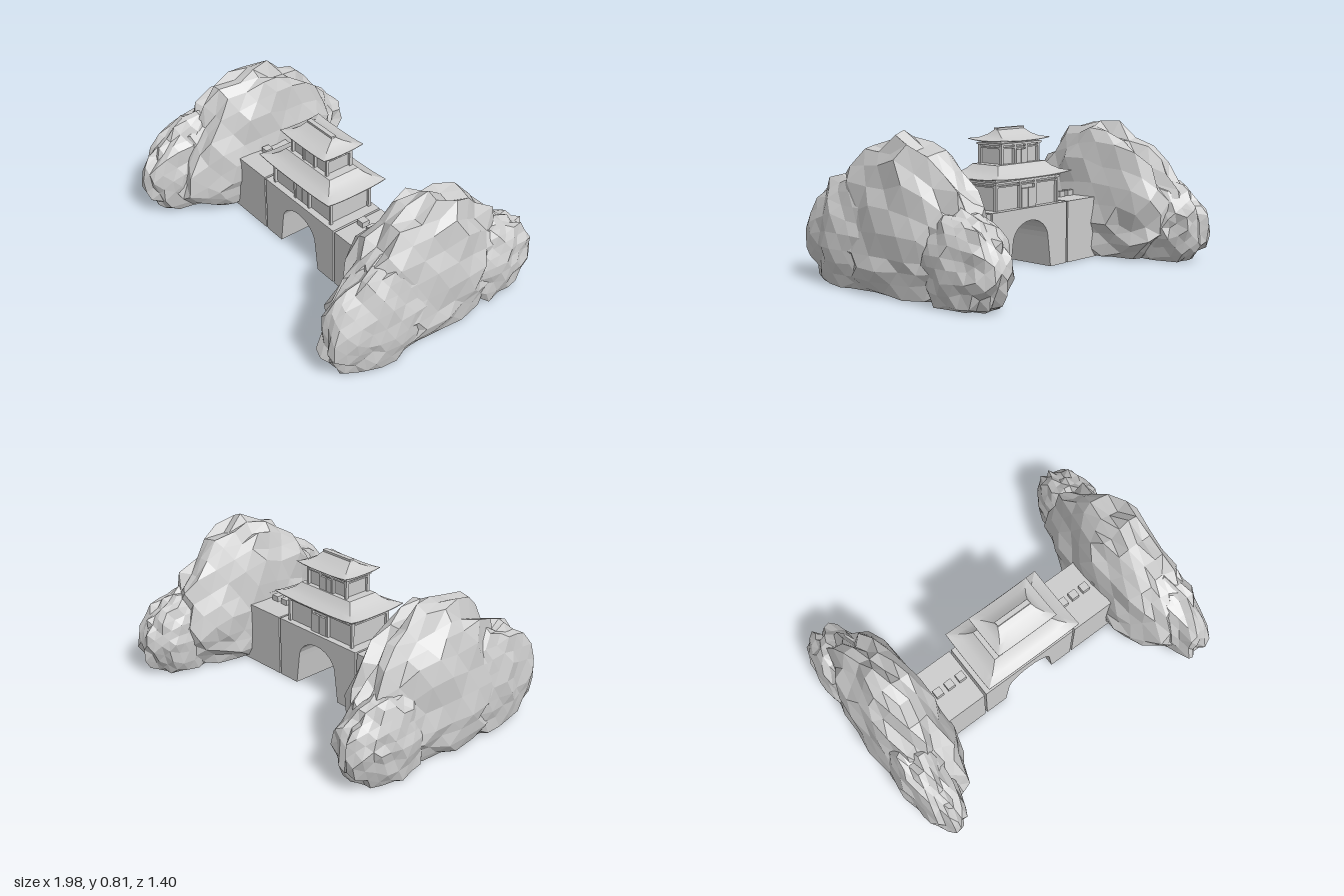
import * as THREE from 'three';
import { toCreasedNormals } from 'three/addons/utils/BufferGeometryUtils.js';

const stone = new THREE.MeshStandardMaterial({ color: 0xcccccc });
stone.name = 'paleStone';
const CX = -0.01, CZ = 0.05; // centre of the gate

function add(parent, name, geometry) {
  const mesh = new THREE.Mesh(geometry, stone);
  mesh.name = name;
  parent.add(mesh);
  return mesh;
}

// Box given by its limits
function box(parent, name, x0, x1, y0, y1, z0, z1) {
  const m = add(parent, name, new THREE.BoxGeometry(x1 - x0, y1 - y0, z1 - z0));
  m.position.set((x0 + x1) / 2, (y0 + y1) / 2, (z0 + z1) / 2);
  return m;
}

// Faceted rock: jagged pointed ellipsoid, widest at y = 0.2, cut flat at the ground
function rock(parent, name, [cx, hx], top, [cz, hz], seed, detail) {
  const geo = new THREE.IcosahedronGeometry(1, detail);
  const p = geo.attributes.position, v = new THREE.Vector3();
  const hash = (a, b, c) => {
    const s = Math.sin(Math.round(a * 500) * 12.99 + Math.round(b * 500) * 78.23 + Math.round(c * 500) * 37.72 + seed * 5.1) * 43758.5;
    return s - Math.floor(s);
  };
  for (let i = 0; i < p.count; i++) {
    v.fromBufferAttribute(p, i).normalize();
    const { x, y, z } = v;
    const noise = 0.02 * Math.sin(5 * x + 9 * z + seed) + 0.17 * (hash(x, y, z) - 0.5);
    // full across, tapering to a crest along z
    const q = (1 + noise) * Math.pow(Math.abs(x) ** 2.9 + Math.abs(y) ** 1.8 + Math.abs(z) ** 1.6, -1 / 1.9);
    p.setXYZ(i,
      THREE.MathUtils.clamp(cx + x * q * hx, -1, 1),
      Math.max(0, 0.2 + y * q * (y > 0 ? top - 0.2 : 0.3)),
      THREE.MathUtils.clamp(cz + z * q * hz, -0.7, 0.7));
  }
  geo.computeVertexNormals();
  add(parent, name, geo);
}

// Hipped roof from rectangular rings [halfX, halfZ, y, cornerLift]
function roof(parent, name, rings) {
  const corners = [[1, 1], [1, -1], [-1, -1], [-1, 1]], n = 8;
  const pos = [], idx = [], count = 4 * n;
  for (const [hx, hz, y, lift] of rings)
    for (let s = 0; s < 4; s++)
      for (let k = 0; k < n; k++) {
        const a = corners[s], b = corners[(s + 1) % 4], t = k / n;
        pos.push(CX + hx * (a[0] + (b[0] - a[0]) * t), y + lift * Math.abs(2 * t - 1) ** 3, CZ + hz * (a[1] + (b[1] - a[1]) * t));
      }
  for (let i = 0; i < rings.length - 1; i++)
    for (let j = 0; j < count; j++) {
      const a = i * count + j, b = i * count + (j + 1) % count;
      idx.push(a, b, b + count, a, b + count, a + count);
    }
  const geo = new THREE.BufferGeometry();
  geo.setAttribute('position', new THREE.Float32BufferAttribute(pos, 3));
  geo.setIndex(idx);
  add(parent, name, toCreasedNormals(geo, 0.5));
}

// Pavilion storey: recessed body behind posts, beams and rails, with doors on both faces
function storey(parent, name, hx, hz, y0, y1, doorHalf) {
  const g = new THREE.Group();
  g.name = name;
  g.position.set(CX, 0, CZ);
  parent.add(g);
  const b = 0.014, h = y1 - y0;
  box(g, 'body', -hx + 0.006, hx - 0.006, y0, y1 + 0.015, -hz + 0.008, hz - 0.008);
  box(g, 'eaveBeam', -hx - b, hx + b, y1 - 0.012, y1, -hz - b, hz + b);
  for (const s of [-1, 1]) {
    const z = s * hz;
    for (const x of [-hx, -doorHalf, doorHalf, hx])
      box(g, 'post', x - 0.007, x + 0.007, y0, y1, z - 0.009, z + 0.009);
    box(g, 'lintel', -hx, hx, y1 - 0.03, y1 - 0.022, z - 0.008, z + 0.008);
    box(g, 'sideRail', s * hx - 0.007, s * hx + 0.007, y1 - 0.03, y1 - 0.022, -hz, hz);
    for (const d of [-1, 1]) {
      const c = d * doorHalf * 0.45;
      box(g, 'door', c - doorHalf * 0.42, c + doorHalf * 0.42, y0, y0 + h * 0.68, z - 0.01, z + 0.002);
    }
  }
}

export function createModel() {
  const model = new THREE.Group();
  model.name = 'mountainPassGate';

  // Gate block with a tapered arch passage
  const s = new THREE.Shape();
  s.moveTo(-0.3, 0);
  s.lineTo(-0.165, 0);
  s.lineTo(-0.143, 0.165);
  s.absellipse(0, 0.165, 0.143, 0.115, Math.PI, 0, true);
  s.lineTo(0.165, 0);
  s.lineTo(0.3, 0);
  s.lineTo(0.3, 0.35);
  s.lineTo(-0.3, 0.35);
  const block = add(model, 'gateBlock', new THREE.ExtrudeGeometry(s, { depth: 0.32, bevelEnabled: false, curveSegments: 6 }));
  block.position.set(CX, 0, -0.11);

  // Side walls and battlements
  for (const d of [-1, 1]) {
    const a = CX + d * 0.312, b = CX + d * 0.68;
    box(model, 'sideWall', Math.min(a, b), Math.max(a, b), 0, 0.35, -0.11, 0.21);
    for (let i = 0; i < 4; i++) {
      const x = CX + d * (0.353 + i * 0.075);
      box(model, 'merlon', x - 0.023, x + 0.023, 0.35, 0.382, 0.027, 0.073);
    }
  }

  // Two-storey pavilion
  storey(model, 'lowerStorey', 0.245, 0.13, 0.35, 0.505, 0.06);
  roof(model, 'lowerRoof', [
    [0.21, 0.1, 0.519, 0], [0.302, 0.193, 0.515, 0.012], [0.302, 0.193, 0.519, 0.012],
    [0.25, 0.15, 0.536, 0.004], [0.215, 0.118, 0.56, 0], [0.19, 0.095, 0.586, 0], [0.13, 0.06, 0.588, 0],
  ]);
  storey(model, 'upperStorey', 0.147, 0.078, 0.58, 0.7, 0.045);
  roof(model, 'upperRoof', [
    [0.12, 0.06, 0.713, 0], [0.188, 0.13, 0.709, 0.009], [0.188, 0.13, 0.712, 0.009],
    [0.148, 0.085, 0.724, 0.003], [0.122, 0.045, 0.744, 0], [0.106, 0.012, 0.768, 0], [0.05, 0.005, 0.768, 0],
  ]);
  box(model, 'ridge', CX - 0.105, CX + 0.105, 0.763, 0.778, CZ - 0.014, CZ + 0.014);

  // Rocky hills on either side: [centre, half width] in x, top, [centre, half length] in z
  const left = new THREE.Group(), right = new THREE.Group();
  left.name = 'leftHill';
  right.name = 'rightHill';
  model.add(left, right);
  rock(left, 'mainRock', [0.752, 0.225], 0.765, [0.02, 0.54], 1, 4);
  rock(left, 'frontRock', [0.825, 0.145], 0.58, [0.33, 0.36], 2, 4);
  rock(left, 'backRock', [0.8, 0.155], 0.455, [-0.41, 0.28], 3, 4);
  rock(right, 'mainRock', [-0.755, 0.225], 0.765, [-0.02, 0.53], 4, 4);
  rock(right, 'frontRock', [-0.84, 0.135], 0.57, [0.32, 0.35], 5, 4);
  rock(right, 'backRock', [-0.815, 0.155], 0.455, [-0.41, 0.28], 6, 4);
  return model;
}
